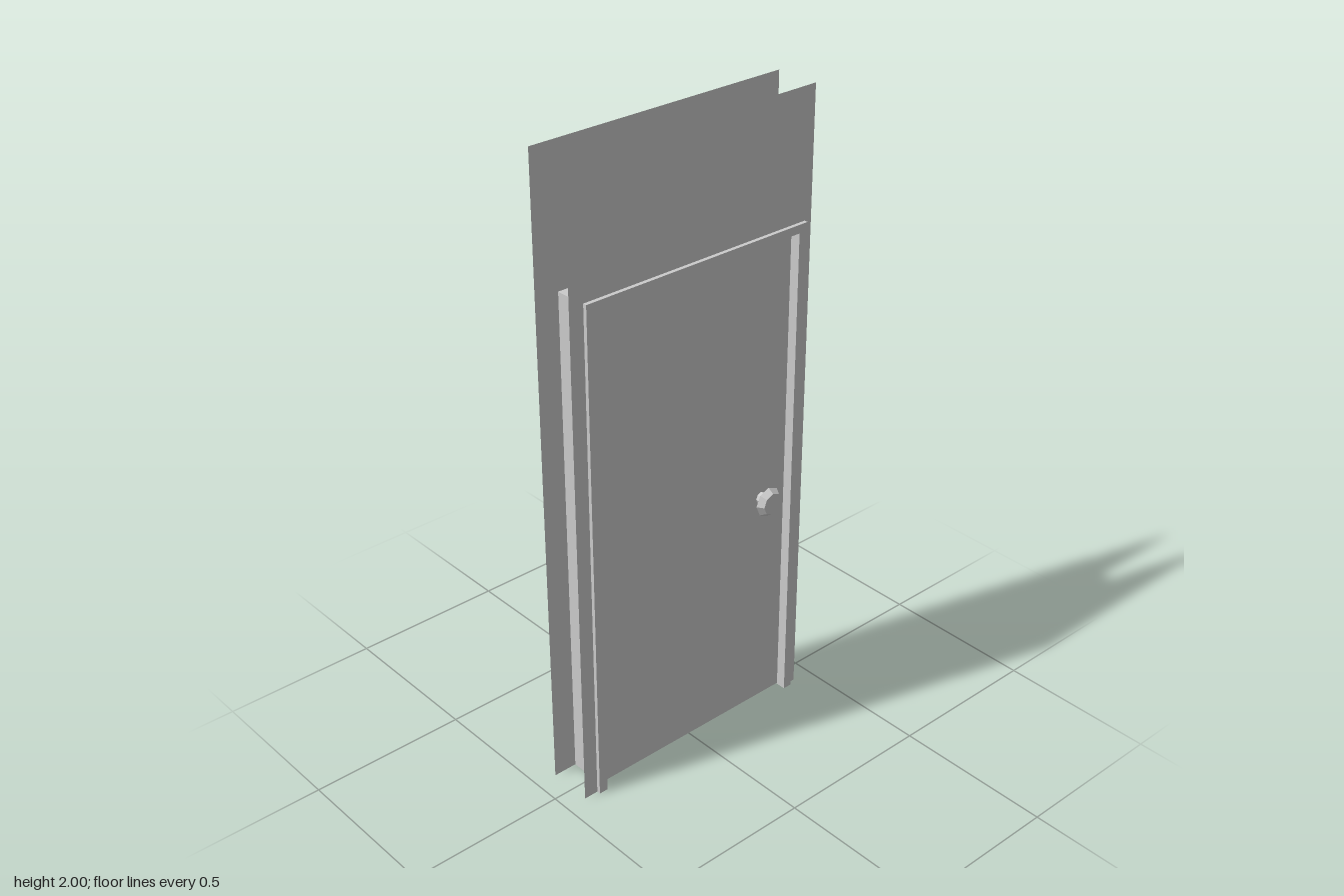
import * as THREE from 'three';

const LEFT = -0.356, RIGHT = 0.378, HEAD = 1.58;  // door opening
const WALL_Z = [0.058, -0.083];                   // front and back wall faces
const DOOR_Z = [0.042, -0.02];                    // front and back door faces
const TRIM_W = 0.03, TRIM_D = 0.012;

const solid = new THREE.MeshStandardMaterial({ color: 0xcccccc, flatShading: true });
const thin = new THREE.MeshStandardMaterial({ color: 0xcccccc, flatShading: true, side: THREE.DoubleSide });

// Upside-down U around the door opening
function archShape(x0, x1, top) {
  return new THREE.Shape([
    [x0, 0], [LEFT, 0], [LEFT, HEAD], [RIGHT, HEAD],
    [RIGHT, 0], [x1, 0], [x1, top], [x0, top],
  ].map(([x, y]) => new THREE.Vector2(x, y)));
}

export function createModel() {
  const group = new THREE.Group();
  const add = (name, geometry, material, x = 0, y = 0, z = 0) => {
    const mesh = new THREE.Mesh(geometry, material);
    mesh.name = name;
    mesh.position.set(x, y, z);
    group.add(mesh);
    return mesh;
  };

  // Knob profile: stem, flared back, chamfered front face
  const knobProfile = [[0, 0], [0.02, 0], [0.02, 0.018], [0.048, 0.031], [0.035, 0.051], [0, 0.051]]
    .map(([r, h]) => new THREE.Vector2(r, h));

  // Wall sheet, casing and knob on each side
  ['front', 'back'].forEach((side, i) => {
    const dir = i === 0 ? 1 : -1;
    add(side + 'Wall', new THREE.ShapeGeometry(archShape(-0.433, 0.433, 2)), thin, 0, 0, WALL_Z[i]);

    const casing = new THREE.ExtrudeGeometry(
      archShape(LEFT - TRIM_W, RIGHT + TRIM_W, HEAD + 0.026),
      { depth: TRIM_D, bevelEnabled: false });
    add(side + 'Casing', casing, solid, 0, 0, i === 0 ? WALL_Z[0] : WALL_Z[1] - TRIM_D);

    const knob = add(side + 'Knob', new THREE.LatheGeometry(knobProfile, 8), solid, 0.281, 0.745, DOOR_Z[i]);
    knob.rotation.x = dir * Math.PI / 2;
  });

  // Thin jamb lining between the two walls
  const depth = WALL_Z[0] - WALL_Z[1], midZ = (WALL_Z[0] + WALL_Z[1]) / 2;
  for (const [name, x] of [['rightJamb', LEFT], ['leftJamb', RIGHT]]) {
    const jamb = new THREE.PlaneGeometry(depth, HEAD).rotateY(Math.PI / 2);
    add(name, jamb, thin, x, HEAD / 2, midZ);
  }
  const head = new THREE.PlaneGeometry(RIGHT - LEFT, depth).rotateX(-Math.PI / 2);
  add('headJamb', head, thin, (LEFT + RIGHT) / 2, HEAD, midZ);

  // Door leaf with small gaps at the side and floor
  const x0 = -0.348, x1 = 0.374, y0 = 0.008, y1 = HEAD - 0.002;
  add('doorLeaf', new THREE.BoxGeometry(x1 - x0, y1 - y0, DOOR_Z[0] - DOOR_Z[1]), solid,
    (x0 + x1) / 2, (y0 + y1) / 2, (DOOR_Z[0] + DOOR_Z[1]) / 2);

  return group;
}
